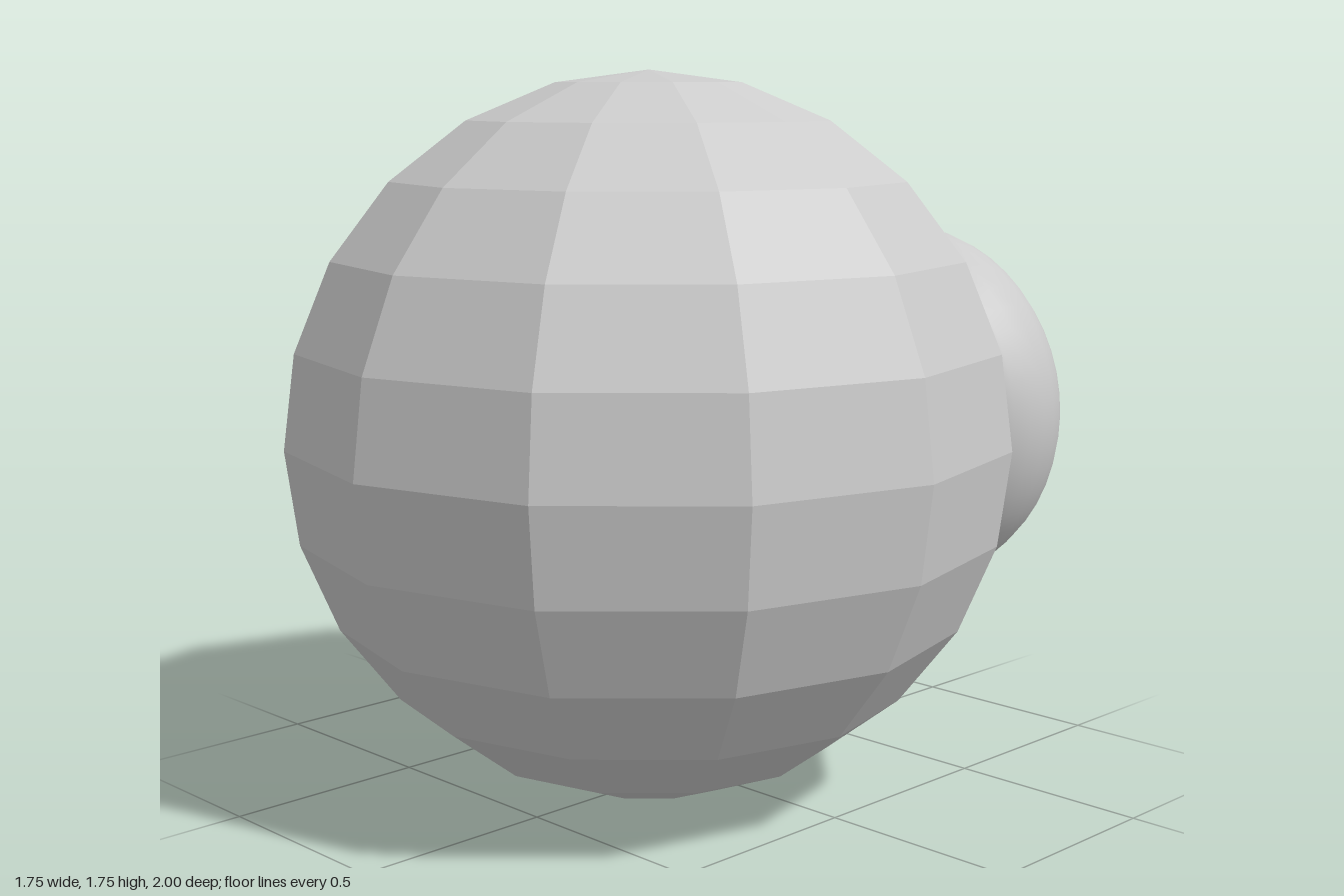
import * as THREE from 'three';

export function createModel() {
  const model = new THREE.Group();

  // Faceted ball: 12 sides, 12 rows, resting on the ground
  const body = new THREE.Mesh(
    new THREE.SphereGeometry(0.875, 12, 12),
    new THREE.MeshStandardMaterial({ color: 0xcccccc, flatShading: true })
  );
  body.name = 'body';
  body.position.set(0, 0.875, 0.125);
  model.add(body);

  // Smooth ring pressed into the back, slightly stretched along its axis
  const ring = new THREE.Mesh(
    new THREE.TorusGeometry(0.328, 0.164, 24, 48).scale(1, 1, 1.2),
    new THREE.MeshStandardMaterial({ color: 0xcccccc })
  );
  ring.name = 'backRing';
  ring.position.set(0.007, 0.852, -0.803);
  model.add(ring);

  return model;
}
